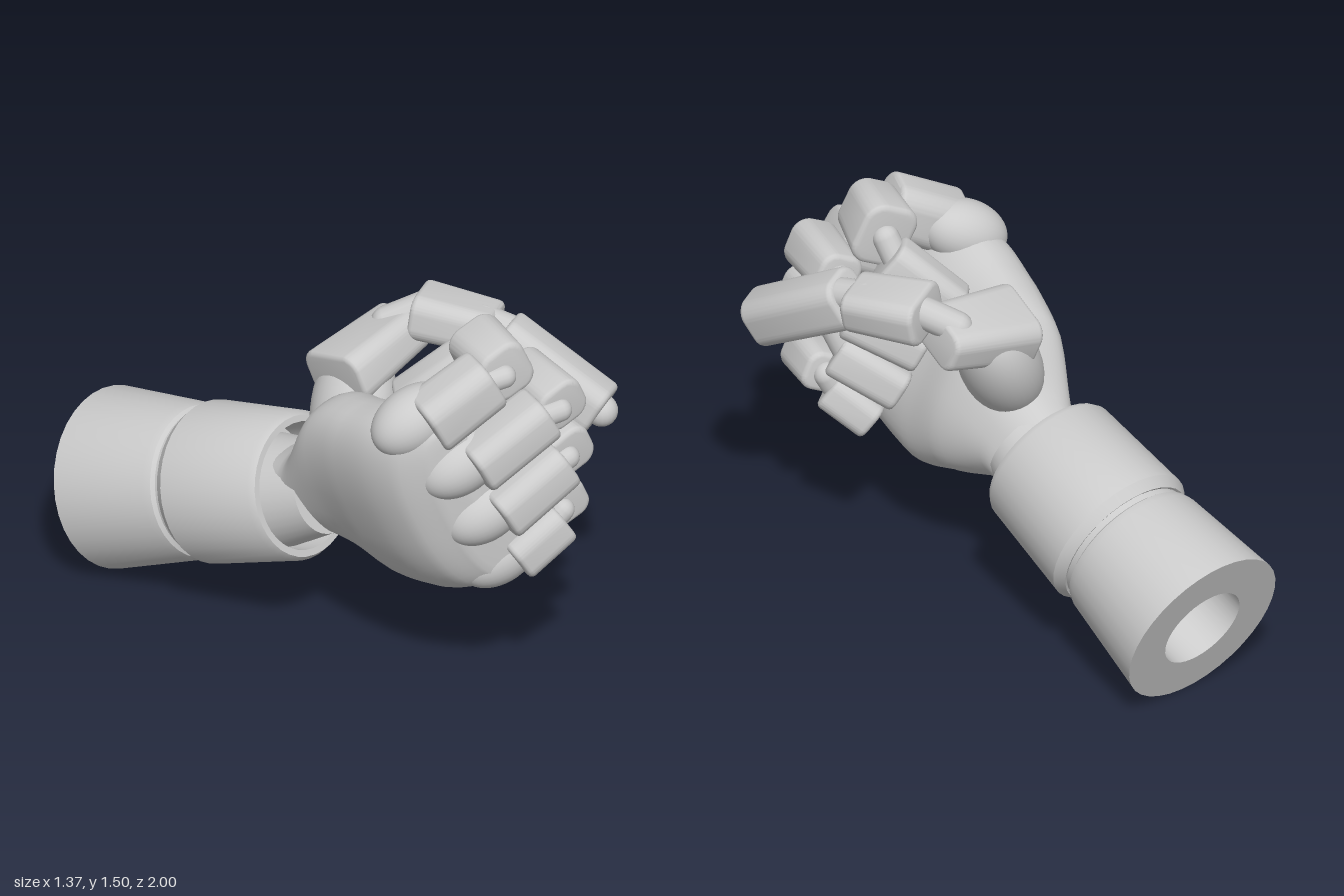
import * as THREE from 'three';
import { toCreasedNormals } from 'three/addons/utils/BufferGeometryUtils.js';

const V = (a) => new THREE.Vector3(...a);
const grey = new THREE.MeshStandardMaterial({ color: 0xcccccc });

// Hand frame: W runs from index to little finger, N out of the palm
const W = V([0.38, -0.9, 0.12]).normalize();
const N = V([0.87, 0.42, 0.2]).normalize();

function mesh(name, geometry) {
  const m = new THREE.Mesh(geometry, grey);
  m.name = name;
  return m;
}

// Put a mesh's y axis along a to b, with its x axis close to side
function align(m, a, b, side = W) {
  const y = b.clone().sub(a).normalize();
  const x = side.clone().addScaledVector(y, -side.dot(y)).normalize();
  const z = x.clone().cross(y);
  m.quaternion.setFromRotationMatrix(new THREE.Matrix4().makeBasis(x, y, z));
  m.position.copy(a).lerp(b, 0.5);
  return m;
}

// Armour block from a to b: round sides, small bevel at the ends, scaled by taper at b
function block(name, a, b, w, d, taper = 0.9, side = W) {
  const len = a.distanceTo(b), bevel = 0.02, r = Math.min(w, d) * 0.34;
  const s = new THREE.Shape();
  s.absarc(w / 2 - r, d / 2 - r, r, 0, Math.PI / 2);
  s.absarc(r - w / 2, d / 2 - r, r, Math.PI / 2, Math.PI);
  s.absarc(r - w / 2, r - d / 2, r, Math.PI, Math.PI * 1.5);
  s.absarc(w / 2 - r, r - d / 2, r, Math.PI * 1.5, Math.PI * 2);
  const g = new THREE.ExtrudeGeometry(s, {
    depth: len - bevel * 2, bevelThickness: bevel, bevelSize: bevel, bevelOffset: -bevel, bevelSegments: 3, curveSegments: 8,
  });
  g.translate(0, 0, bevel - len / 2).rotateX(-Math.PI / 2);
  const p = g.attributes.position;
  for (let i = 0; i < p.count; i++) {
    const k = THREE.MathUtils.lerp(1, taper, p.getY(i) / len + 0.5);
    p.setX(i, p.getX(i) * k);
    p.setZ(i, p.getZ(i) * k);
  }
  return align(mesh(name, toCreasedNormals(g, 0.7)), a, b, side);
}

function link(name, a, b, r) {
  return align(mesh(name, new THREE.CapsuleGeometry(r, a.distanceTo(b), 6, 16)), a, b);
}

// Ellipsoid swelling between a and b
function swelling(name, a, b, scale, side) {
  const m = align(mesh(name, new THREE.SphereGeometry(1, 32, 24)), a, b, side);
  m.scale.set(...scale);
  return m;
}

// Turned part along the forearm axis from profile points [radius, distance]
const armStart = V([-0.35, 0.315, -0.865]);
const armDir = V([0.193, 0.335, 0.92]).normalize();
function turned(name, profile) {
  const g = new THREE.LatheGeometry(profile.map(([r, t]) => new THREE.Vector2(r, t)), 36);
  const m = mesh(name, toCreasedNormals(g, 0.6));
  align(m, armStart, armStart.clone().add(armDir));
  m.position.copy(armStart);
  return m;
}

// Palm: superellipse sections lofted from the wrist to the knuckles
function palmGeometry() {
  const sections = [ // centre x, y, z, half width, half thickness
    [-0.17, 0.6, -0.06, 0.17, 0.16],
    [-0.13, 0.68, 0.07, 0.19, 0.17],
    [-0.1, 0.79, 0.24, 0.35, 0.2],
    [-0.09, 0.8, 0.42, 0.42, 0.2],
    [-0.08, 0.85, 0.6, 0.43, 0.21],
    [-0.07, 0.89, 0.75, 0.4, 0.18],
    [-0.03, 0.9, 0.83, 0.35, 0.12],
    [-0.03, 0.9, 0.85, 0.001, 0.001],
  ];
  const curves = new THREE.CatmullRomCurve3(sections.map((s) => V(s)));
  const sizes = new THREE.CatmullRomCurve3(sections.map((s) => new THREE.Vector3(s[3], s[4], 0)));
  const rows = 42, cols = 48, pos = [], idx = [];
  const pow = (v) => Math.sign(v) * Math.abs(v) ** 0.85;
  for (let i = 0; i <= rows; i++) {
    const c = curves.getPoint(i / rows), s = sizes.getPoint(i / rows);
    for (let j = 0; j < cols; j++) {
      const t = (j / cols) * Math.PI * 2;
      const p = c.clone().addScaledVector(W, s.x * pow(Math.cos(t))).addScaledVector(N, s.y * pow(Math.sin(t)));
      pos.push(p.x, p.y, p.z);
      if (i === rows) continue;
      const a = i * cols + j, b = i * cols + ((j + 1) % cols);
      idx.push(a, b, a + cols, b, b + cols, a + cols);
    }
  }
  const g = new THREE.BufferGeometry();
  g.setAttribute('position', new THREE.Float32BufferAttribute(pos, 3));
  g.setIndex(idx);
  g.computeVertexNormals();
  return g;
}

// Three blocks and two links per finger: width, middle block taper, start and end points
const fingers = {
  index: [0.23, 1.15, [-0.17, 1.24, 0.71], [0.08, 1.37, 0.76], [0.15, 1.375, 0.79], [0.19, 1.365, 0.56], [0.2, 1.29, 0.53], [0, 1.1, 0.38]],
  middle: [0.2, 0.9, [-0.05, 1.07, 0.83], [0.24, 1.22, 0.88], [0.33, 1.21, 0.89], [0.36, 1.22, 0.6], [0.33, 1.07, 0.58], [0.11, 0.93, 0.42]],
  ring: [0.2, 0.9, [0.04, 0.85, 0.86], [0.31, 1.0, 0.9], [0.35, 1.01, 0.91], [0.37, 1.02, 0.68], [0.34, 0.87, 0.66], [0.15, 0.73, 0.5]],
  little: [0.18, 0.9, [0.13, 0.62, 0.83], [0.32, 0.74, 0.87], [0.35, 0.77, 0.88], [0.38, 0.78, 0.66], [0.36, 0.72, 0.67], [0.24, 0.6, 0.55]],
};

function makeFinger(name, [w, taper, ...coords]) {
  const p = coords.map(V);
  const g = new THREE.Group();
  g.name = name + 'Finger';
  // Soft knuckle ridge running back from the first segment
  const ridge = p[0].clone().add(V([0, 0, -0.06]));
  g.add(
    block('proximalSegment', p[0], p[1], w, 0.22, 0.95),
    block('middleSegment', p[2], p[3], w * 0.95, 0.19, taper),
    block('distalSegment', p[4], p[5], w * 0.88, 0.17, 0.92),
    link('outerLink', p[1].clone().lerp(p[0], 0.15), p[2].clone().addScaledVector(N, -0.02), 0.045),
    link('innerLink', p[3], p[4].clone().lerp(p[5], 0.2), 0.05),
    swelling('knuckle', ridge.clone().addScaledVector(N, -0.1), ridge.clone().addScaledVector(N, 0.08), [0.12, 0.17, 0.12]),
  );
  return g;
}

function makeThumb() {
  const g = new THREE.Group();
  g.name = 'thumb';
  const side = V([0.55, -0.1, -0.4]);
  const tipA = V([0.41, 1.25, 0.42]), tipB = V([0.6, 1.03, 0.77]);
  const tip = mesh('thumbTip', new THREE.SphereGeometry(0.06, 20, 14));
  tip.position.copy(tipB);
  g.add(
    swelling('thumbMound', V([-0.14, 0.82, 0.22]), V([0.02, 1.14, 0.08]), [0.17, 0.29, 0.15], V([0, 0.2, 1])),
    block('thumbBase', V([-0.13, 1.14, 0.13]), V([0.24, 1.21, 0.08]), 0.3, 0.2, 0.82, V([0, 0.3, 1])),
    block('thumbMiddle', V([0.25, 1.29, 0.13]), V([0.42, 1.26, 0.38]), 0.25, 0.18, 0.9, side),
    block('thumbDistal', tipA, tipB, 0.2, 0.21, 0.95, side),
    link('thumbLowerLink', V([0.16, 1.24, 0.07]), V([0.27, 1.3, 0.15]), 0.06),
    link('thumbUpperLink', V([0.39, 1.29, 0.34]), V([0.44, 1.27, 0.43]), 0.06),
    tip,
  );
  return g;
}

export function createModel() {
  const model = new THREE.Group();
  model.name = 'armouredFist';

  // Forearm: rear cuff with a socket, groove, and hollow front sleeve
  model.add(
    turned('rearCuff', [[0, 0.36], [0.13, 0.36], [0.17, 0.3], [0.17, 0], [0.335, 0], [0.29, 0.4], [0.28, 0.43], [0.265, 0.44], [0.265, 0.5]]),
    turned('frontSleeve', [[0.25, 0.47], [0.275, 0.46], [0.3, 0.5], [0.275, 0.91], [0.26, 0.935], [0.235, 0.935], [0.22, 0.75], [0, 0.75]]),
    align(mesh('wrist', new THREE.CylinderGeometry(0.17, 0.215, 0.24, 32)), V([-0.19, 0.56, -0.12]), V([-0.14, 0.65, 0.08])),
    mesh('palm', palmGeometry()),
    makeThumb(),
  );
  for (const [name, spec] of Object.entries(fingers)) model.add(makeFinger(name, spec));
  return model;
}
